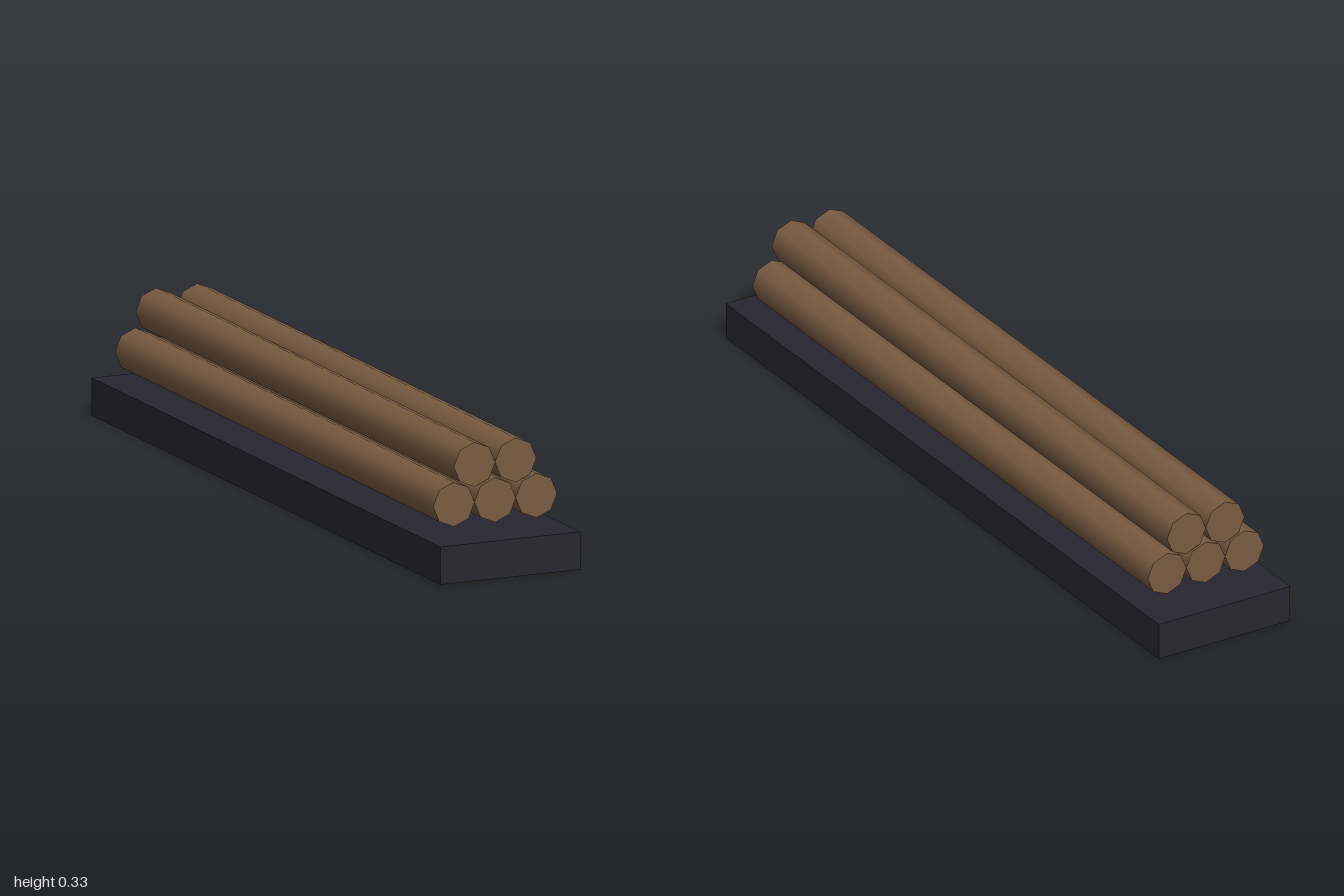
import * as THREE from 'three';

const RADIUS = 0.056;
const LOG_LENGTH = 1.826;

export function createModel() {
  const model = new THREE.Group();
  model.name = 'logStack';

  const wood = new THREE.MeshStandardMaterial({ color: 0x7a5c42 });
  wood.name = 'brown wood';
  const dark = new THREE.MeshStandardMaterial({ color: 0x272631 });
  dark.name = 'dark slate';

  // Flat base slab
  const base = new THREE.Mesh(new THREE.BoxGeometry(0.38, 0.095, 2), dark);
  base.name = 'base';
  base.position.y = 0.0475;
  model.add(base);

  // Eight-sided logs lying along z, smooth around the sides
  const logGeometry = new THREE.CylinderGeometry(RADIUS, RADIUS, LOG_LENGTH, 8);
  logGeometry.rotateX(Math.PI / 2);

  // Three logs below, two nested above
  const rows = [
    { name: 'lowerLog', count: 3, y: 0.176 },
    { name: 'upperLog', count: 2, y: 0.271 },
  ];
  for (const { name, count, y } of rows) {
    for (let i = 0; i < count; i++) {
      const log = new THREE.Mesh(logGeometry, wood);
      log.name = `${name}${i + 1}`;
      log.position.set((i - (count - 1) / 2) * RADIUS * 2, y, 0);
      model.add(log);
    }
  }

  return model;
}
